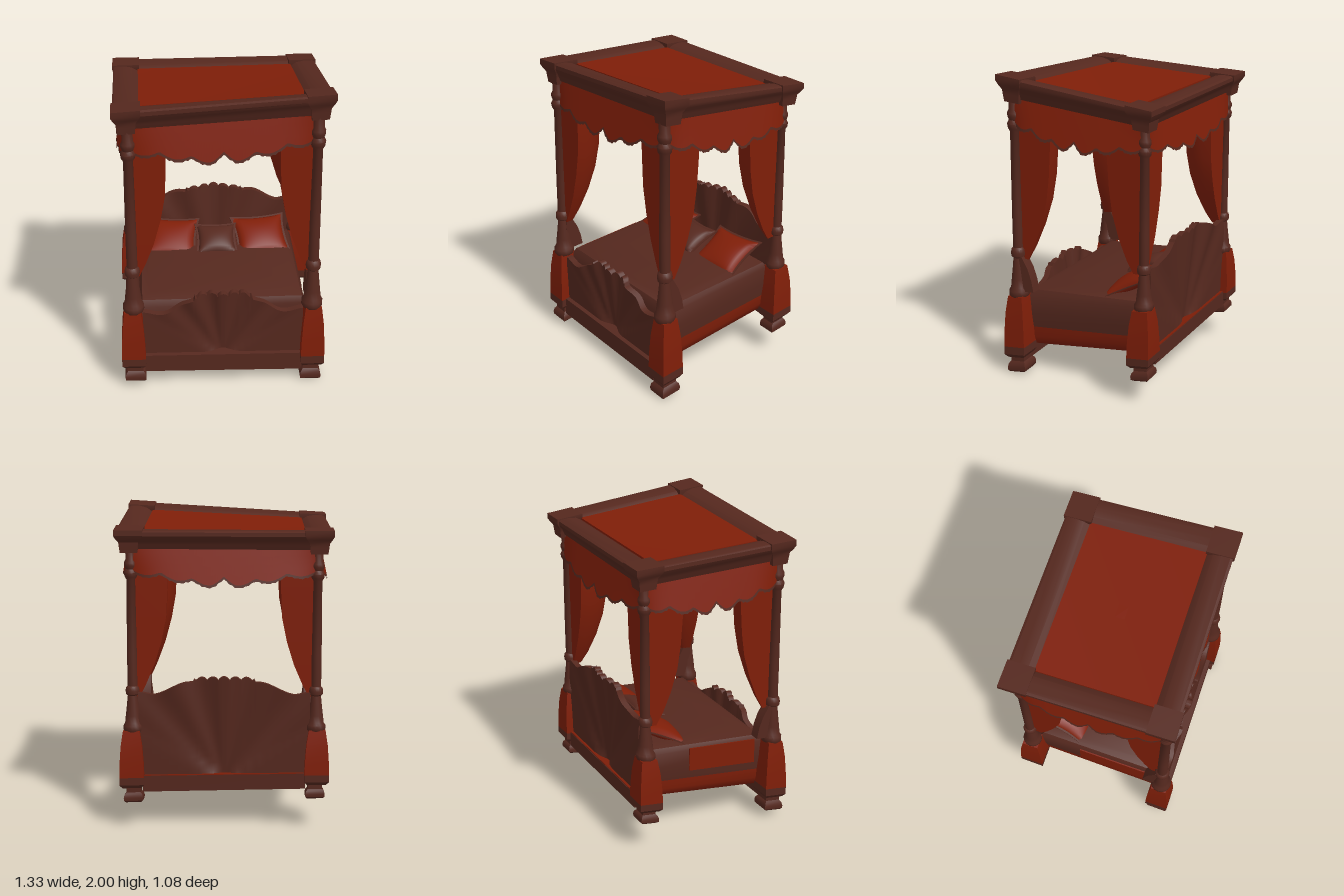
import * as THREE from 'three';
import { toCreasedNormals } from 'three/addons/utils/BufferGeometryUtils.js';

const wood = new THREE.MeshStandardMaterial({ color: 0x55281e, side: THREE.DoubleSide });
wood.name = 'brown wood and cloth';
const red = new THREE.MeshStandardMaterial({ color: 0x7f1e08, side: THREE.DoubleSide });
red.name = 'red cloth';

// The whole bed leans: it is tallest at the front +x corner and shrinks away from it
function warp(p) {
  const u = (0.66 - p.x) / 1.32, v = (0.535 - p.z) / 1.07, t = p.y / 2;
  p.y += u * (0.04 - 0.12 * t) + v * (0.175 - 0.285 * t) + u * v * 0.08 * t * t;
}

// Moves every vertex of a geometry by a rule
function bend(geo, rule) {
  const pos = geo.attributes.position, p = new THREE.Vector3();
  for (let i = 0; i < pos.count; i++) {
    rule(p.fromBufferAttribute(pos, i));
    pos.setXYZ(i, p.x, p.y, p.z);
  }
  return geo;
}

// Surface through rings of [x, y, z] points, listed bottom to top
function loft(rings, caps = true) {
  const n = rings[0].length, idx = [];
  for (let r = 0; r < rings.length - 1; r++) {
    for (let i = 0; i < n; i++) {
      const a = r * n + i, b = r * n + (i + 1) % n;
      idx.push(a, b, b + n, a, b + n, a + n);
    }
  }
  if (caps) {
    const top = (rings.length - 1) * n;
    for (let i = 1; i < n - 1; i++) idx.push(0, i + 1, i, top, top + i, top + i + 1);
  }
  const geo = new THREE.BufferGeometry();
  geo.setAttribute('position', new THREE.Float32BufferAttribute(rings.flat(2), 3));
  geo.setIndex(idx);
  return geo;
}

const rect = (cx, cz, hx, hz, y) =>
  [[1, 1], [1, -1], [-1, -1], [-1, 1]].map(([a, b]) => [cx + a * hx, y, cz + b * hz]);

export function createModel() {
  const bed = new THREE.Group();
  bed.name = 'canopyBed';
  const add = (name, geo, mat, crease = 0.7) => {
    const mesh = new THREE.Mesh(toCreasedNormals(bend(geo, warp), crease), mat);
    mesh.name = name;
    bed.add(mesh);
  };
  const box = (name, w, h, d, x, y, z, mat) =>
    add(name, new THREE.BoxGeometry(w, h, d).translate(x, y, z), mat);

  // Turned post profile: radius, height
  const postProfile = [[0, 0.53], [0.06, 0.53], [0.068, 0.545], [0.068, 0.575], [0.056, 0.595], [0.05, 0.65],
    [0.041, 0.73], [0.034, 0.8], [0.046, 0.81], [0.049, 0.835], [0.044, 0.86], [0.034, 0.87], [0.034, 1.1],
    [0.03, 1.64], [0.042, 1.66], [0.047, 1.69], [0.035, 1.715], [0.044, 1.74], [0.044, 1.76], [0.034, 1.78], [0.034, 1.88]];
  const footProfile = [[0.055, 0], [0.066, 0.012], [0.068, 0.035], [0.062, 0.06], [0.05, 0.075], [0.05, 0.12]];
  const cornice = [[0.052, 1.835], [0.057, 1.88], [0.06, 1.91], [0.075, 1.935], [0.0875, 1.962], [0.0875, 2]];
  // Curtain: height, reach along x, reach along z
  const curtain = [[0.79, 0.045, 0.075], [0.88, 0.085, 0.12], [1.03, 0.14, 0.175], [1.2, 0.185, 0.22],
    [1.37, 0.215, 0.242], [1.6, 0.225, 0.257], [1.87, 0.225, 0.257]];

  for (const sx of [1, -1]) {
    for (const sz of [1, -1]) {
      const px = sx * 0.572, pz = sz > 0 ? 0.467 : -0.445, k = sz > 0 ? 1 : 0.9;
      add('post', new THREE.LatheGeometry(postProfile.map(([r, y]) => new THREE.Vector2(r * k, y)), 16)
        .translate(px, 0, pz), wood);
      add('foot', loft(footProfile.map(([r, y]) => rect(px, pz, r * k, r * k, y))), wood, 0.6);

      // Square leg with a wooden hem under a red cover
      const lx = px + sx * 0.008;
      add('legHem', loft([[0.06, 0.11], [0.077, 0.135], [0.077, 0.19]]
        .map(([r, y]) => rect(lx, pz, r, r, y))), wood, 0.5);
      add('legCover', loft([[0.077, 0.19], [0.074, 0.3], [0.066, 0.43], [0.052, 0.54]]
        .map(([r, y]) => rect(lx, pz, r, r, y))), red, 0.5);

      // Corner block of the canopy
      add('corniceCorner', loft(cornice.map(([r, y]) => rect(sx * 0.5775, sz * 0.4475, r, r, y))), wood, 0.5);

      // Gathered curtain rounding the inside of the corner
      const rings = curtain.map(([y, a, b]) => {
        const ring = [[px, y, pz]];
        for (let i = 0; i <= 10; i++) {
          const q = i / 10 * Math.PI / 2;
          ring.push([px - sx * a * Math.cos(q) ** 0.7, y, pz - sz * b * Math.sin(q) ** 0.7]);
        }
        return sx * sz > 0 ? ring : ring.reverse();
      });
      add('curtain', loft(rings), red, 0.9);
    }

    // Gathered tail below the tie of each front curtain
    add('curtainTail', loft([[0.57, 0.062], [0.65, 0.055], [0.73, 0.042], [0.81, 0.02]]
      .map(([y, r]) => rect(sx * 0.565, 0.467 - r, 0.035, r, y))), wood);
  }

  // Canopy frame: inset from the outer edge, height
  const frame = [[0.16, 1.86], [0.05, 1.86], [0.038, 1.89], [0.03, 1.912], [0.012, 1.935], [0, 1.958], [0, 1.985],
    [0.015, 1.994], [0.07, 1.994], [0.12, 1.982], [0.158, 1.955], [0.16, 1.86]];
  add('canopyFrame', loft(frame.map(([d, y]) => rect(0, 0, 0.657 - d, 0.525 - d, y)), false), wood, 0.5);
  box('canopyRoof', 1.0, 0.02, 0.735, 0, 1.96, 0, red);
  box('canopyCeiling', 1.0, 0.008, 0.735, 0, 1.94, 0, wood);

  // Scalloped valances with a fringe, flaring outward at the bottom
  const hem = (s) => 1.72 - 0.075 * (0.5 + 0.5 * Math.cos(Math.PI * s))
    - 0.035 * Math.abs(Math.sin(3 * Math.PI * s)) + 0.03 * Math.max(0, 1 - Math.abs(s) * 8);
  function valance(name, half, out, angle, y0, y1, mat) {
    const geo = bend(new THREE.PlaneGeometry(2, 1, 70, 4), (p) => {
      const s = p.x, f = 0.5 - p.y;
      p.y = THREE.MathUtils.lerp(y0(s), y1(s), f);
      p.z = out + 0.055 * ((1.87 - p.y) / 0.27) * (1 - s ** 6);
      p.x = s * half;
    });
    add(name, geo.rotateY(angle), mat, 1);
  }
  for (let i = 0; i < 4; i++) {
    const side = i % 2, half = side ? 0.46 : 0.575, out = side ? 0.595 : 0.465, angle = i * Math.PI / 2;
    valance('valance', half, out, angle, () => 1.87, hem, red);
    valance('valanceFringe', half, out, angle, hem, (s) => hem(s) - 0.018 - 0.004 * Math.sin(s * 130), wood);
  }

  // Head and foot boards: shell flutes under a scalloped crest
  function board(name, half, z, out, bottom, low, high, inner, outer) {
    const geo = bend(new THREE.BoxGeometry(2, 1, 0.04, 120, 14, 1), (p) => {
      const s = Math.abs(p.x), x = p.x * half, f = p.y + 0.5;
      let top = low + (high - low) * (1 - THREE.MathUtils.smoothstep(s, inner, outer));
      top += 0.02 * THREE.MathUtils.smoothstep(s, 0.8, 1);
      if (s < 0.36) top += 0.03 * Math.abs(Math.cos(s * 24)) ** 0.6 + 0.015 * (1 - s / 0.36);
      const y = bottom + (top - bottom) * f;
      const fan = Math.atan2(x, y - bottom + 0.05);
      const fade = Math.max(0, 1 - (fan / 0.95) ** 2);
      p.set(x, y, z + p.z + out * fade * (0.016 * Math.cos(fan * 16) * f - 0.04 * (1 - f)));
    });
    add(name, geo, wood, 0.8);
  }
  board('footboard', 0.515, 0.465, 1, 0.17, 0.5, 0.61, 0.3, 0.78);
  board('headboard', 0.535, -0.452, -1, 0.18, 0.805, 0.9, 0.42, 0.85);
  box('footRail', 1.02, 0.125, 0.09, 0, 0.132, 0.468, wood);
  box('headRail', 1.02, 0.12, 0.08, 0, 0.14, -0.455, wood);
  box('headRailInlay', 1.0, 0.006, 0.07, 0, 0.203, -0.455, red);

  // Bed base: red skirt rounding in towards the underside, and the blanket
  box('bedUnderside', 0.9, 0.02, 0.84, 0, 0.146, 0.01, wood);
  add('skirt', loft([[0.45, 0.142], [0.505, 0.165], [0.525, 0.22], [0.53, 0.3]]
    .map(([h, y]) => rect(0, 0.01, h, 0.42, y))), red, 0.9);
  add('blanket', loft([[0.53, 0.295], [0.54, 0.4], [0.535, 0.52], [0.515, 0.56], [0.46, 0.585], [0.25, 0.6]]
    .map(([h, y]) => rect(0, 0.01, h, h - 0.12, y))), wood, 0.6);
  box('blanketLining', 0.008, 0.18, 0.48, -0.541, 0.45, 0.12, red);

  // Plump pillows with a flat brown edge
  function pillow(name, x, y, z, hx, hz, tilt, turn, mat) {
    const place = (geo) => geo.rotateX(tilt).rotateY(turn).translate(x, y, z);
    const shape = (h, grow) => place(bend(new THREE.BoxGeometry(2, 2, 2, 14, 1, 14), (p) => {
      const puff = Math.sqrt(Math.max(0, (1 - p.x ** 2) * (1 - p.z ** 2)));
      p.set(p.x * (hx + grow) * (1 - 0.1 * (1 - p.z ** 2)), p.y * (h * puff + 0.004),
        p.z * (hz + grow) * (1 - 0.1 * (1 - p.x ** 2)));
    }));
    add(name, shape(0.052, 0), mat, 1);
    add(name + 'Edge', shape(0, 0.015), wood, 0.5);
  }
  pillow('leftPillow', 0.31, 0.622, -0.23, 0.175, 0.16, 0.47, 0.12, red);
  pillow('rightPillow', -0.31, 0.62, -0.23, 0.175, 0.16, 0.47, -0.12, red);
  pillow('middlePillow', 0, 0.635, -0.18, 0.13, 0.12, 0.4, 0, wood);

  return bed;
}
